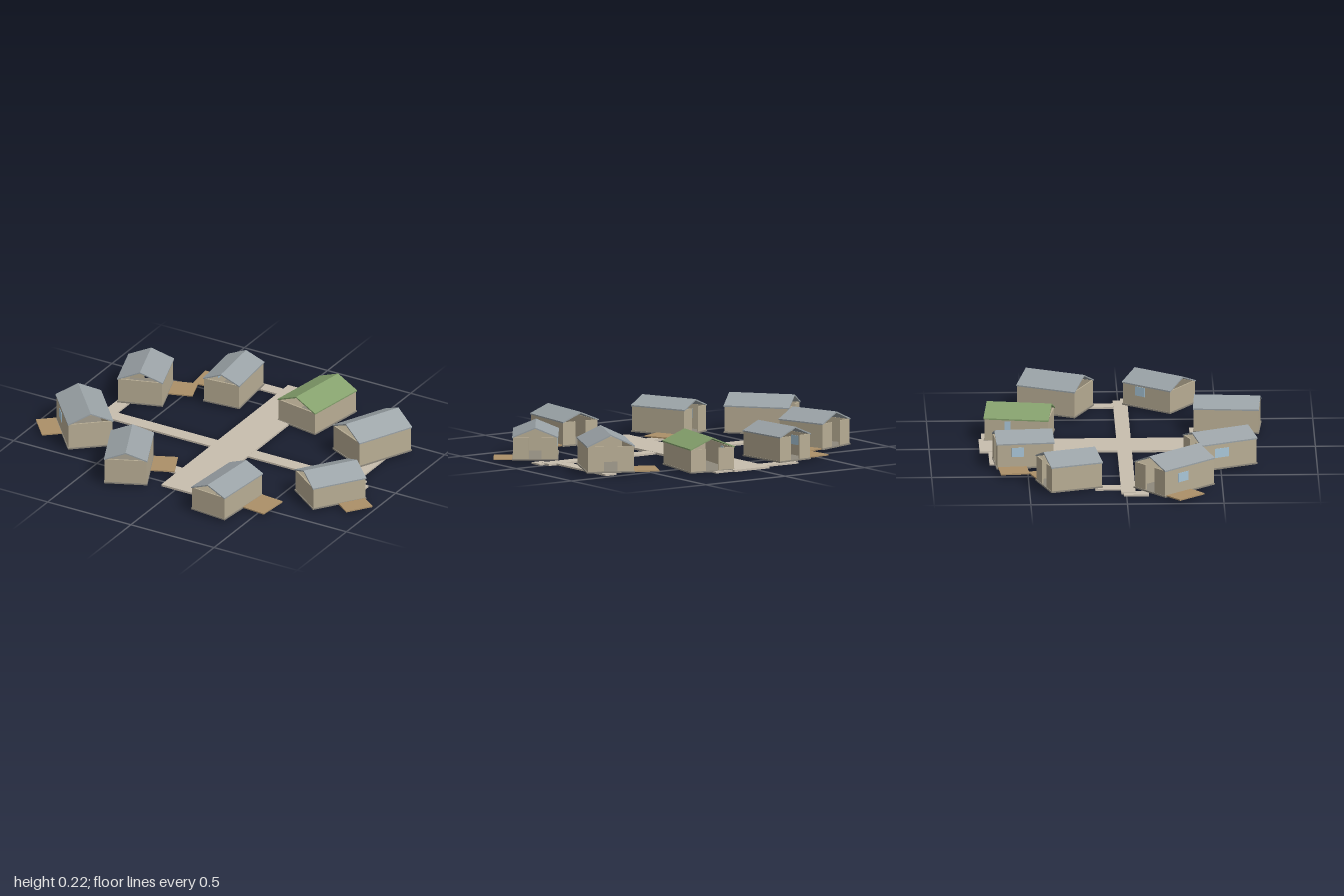
import * as THREE from 'three';

const mat = (color) => new THREE.MeshStandardMaterial({ color, flatShading: true });
const MATS = {
  wall: mat(0xb8ad94), floor: mat(0x8f897c), path: mat(0xc8beae), deck: mat(0xac9068),
  grey: mat(0x9aa2a6), green: mat(0x84a06c), glass: mat(0xa9c6d8),
};
const WALL = 0.008;   // wall thickness
const EAVE = 0.004;   // roof overhang
const ROOF = 0.007;   // roof thickness

// Box given by its min and max corners
function box(name, material, [x0, y0, z0], [x1, y1, z1]) {
  const mesh = new THREE.Mesh(new THREE.BoxGeometry(x1 - x0, y1 - y0, z1 - z0), material);
  mesh.position.set((x0 + x1) / 2, (y0 + y1) / 2, (z0 + z1) / 2);
  mesh.name = name;
  return mesh;
}

// Thin folded roof, open at both gables
function gableRoof(w, l, eave, ridge, material) {
  const s = new THREE.Shape([
    new THREE.Vector2(-w / 2, eave - ROOF), new THREE.Vector2(0, ridge - ROOF),
    new THREE.Vector2(w / 2, eave - ROOF), new THREE.Vector2(w / 2, eave),
    new THREE.Vector2(0, ridge), new THREE.Vector2(-w / 2, eave),
  ]);
  const geo = new THREE.ExtrudeGeometry(s, { depth: l, bevelEnabled: false });
  geo.translate(0, 0, -l / 2);
  const mesh = new THREE.Mesh(geo, material);
  mesh.name = 'roof';
  return mesh;
}

// Cabin with its ridge along z and its doorway in the rear gable wall
function cabin({ at, dir, w, l, base, eave, ridge, roof = 'grey', deck, win }) {
  const g = new THREE.Group();
  g.name = 'cabin';
  const hw = w / 2 - EAVE, hl = l / 2 - EAVE, top = eave - 0.003, sill = base + 0.008;
  const door = w * 0.14;

  g.add(box('floorSlab', MATS.floor, [-w / 2, base, -l / 2], [w / 2, sill, l / 2]));
  g.add(box('frontWall', MATS.wall, [-hw, sill, hl - WALL], [hw, top, hl]));
  for (const s of [-1, 1]) {
    const x0 = s < 0 ? -hw : hw - WALL;
    g.add(box('sideWall', MATS.wall, [x0, sill, -hl + WALL], [x0 + WALL, top, hl - WALL]));
    const p0 = s < 0 ? -hw : door, p1 = s < 0 ? -door : hw;
    g.add(box('doorwayWall', MATS.wall, [p0, sill, -hl], [p1, top, -hl + WALL]));
  }
  g.add(gableRoof(w, l, eave, ridge, MATS[roof]));

  // Window in the right side wall
  if (win) {
    const z = -l * 0.13;
    g.add(box('window', MATS.glass, [-hw - 0.002, base + 0.063, z - win / 2],
      [-hw + WALL + 0.002, base + 0.112, z + win / 2]));
  }
  // Deck beside the rear half, its sign giving the side
  if (deck) {
    const x0 = deck < 0 ? -w / 2 + deck : w / 2, x1 = deck < 0 ? -w / 2 : w / 2 + deck;
    g.add(box('deck', MATS.deck, [x0, 0.015, -l / 2 + 0.008], [x1, 0.022, 0.006]));
  }
  g.position.set(at[0], 0, at[1]);
  g.rotation.y = Math.atan2(dir[0], dir[1]);
  return g;
}

export function createModel() {
  const model = new THREE.Group();
  model.name = 'cabinVillage';

  // Paths: x0, x1, z0, z1, top
  const paths = new THREE.Group();
  paths.name = 'paths';
  [
    [-0.083, 0.14, -0.74, 0.55, 0.011],
    [-0.83, 0.812, -0.027, 0.048, 0.01],
    [-0.295, -0.08, -0.695, -0.63, 0.009],
    [0.135, 0.245, -0.725, -0.66, 0.009],
    [-0.76, -0.69, -0.16, -0.02, 0.009],
    [-0.865, -0.795, -0.015, 0.115, 0.009],
    [0.695, 0.765, -0.47, -0.02, 0.009],
    [0.775, 0.845, 0.012, 0.086, 0.009],
    [-0.37, -0.08, 0.33, 0.395, 0.009],
    [0.135, 0.325, 0.355, 0.42, 0.009],
  ].forEach(([x0, x1, z0, z1, top], i) =>
    paths.add(box(i < 2 ? 'mainPath' : 'sidePath', MATS.path, [x0, 0, z0], [x1, top, z1])));
  model.add(paths);

  // Cabins: plan centre, direction of the closed gable, sizes, heights
  [
    { at: [0.217, -0.527], dir: [-0.16, 0.99], w: 0.254, l: 0.34, base: 0.004, eave: 0.13, ridge: 0.185, roof: 'green', win: 0.03 },
    { at: [-0.281, -0.52], dir: [0.09, 1], w: 0.209, l: 0.302, base: 0.01, eave: 0.145, ridge: 0.19, deck: -0.125, win: 0.065 },
    { at: [-0.676, -0.293], dir: [0.32, 0.95], w: 0.242, l: 0.284, base: 0.012, eave: 0.15, ridge: 0.2, deck: 0.128 },
    { at: [-0.722, 0.25], dir: [0.66, 0.755], w: 0.24, l: 0.35, base: 0.01, eave: 0.155, ridge: 0.208, deck: -0.105, win: 0.07 },
    { at: [-0.308, 0.498], dir: [0.41, 0.91], w: 0.226, l: 0.323, base: 0.012, eave: 0.153, ridge: 0.195, deck: 0.125, win: 0.08 },
    { at: [0.313, 0.552], dir: [-0.09, 1], w: 0.214, l: 0.343, base: 0.012, eave: 0.142, ridge: 0.187, deck: 0.13 },
    { at: [0.732, 0.21], dir: [-0.58, 0.81], w: 0.238, l: 0.302, base: 0.014, eave: 0.138, ridge: 0.187, deck: 0.097, win: 0.06 },
    { at: [0.665, -0.329], dir: [-0.425, 0.905], w: 0.25, l: 0.33, base: 0.015, eave: 0.156, ridge: 0.215, deck: -0.132 },
  ].forEach((spec) => model.add(cabin(spec)));

  return model;
}
